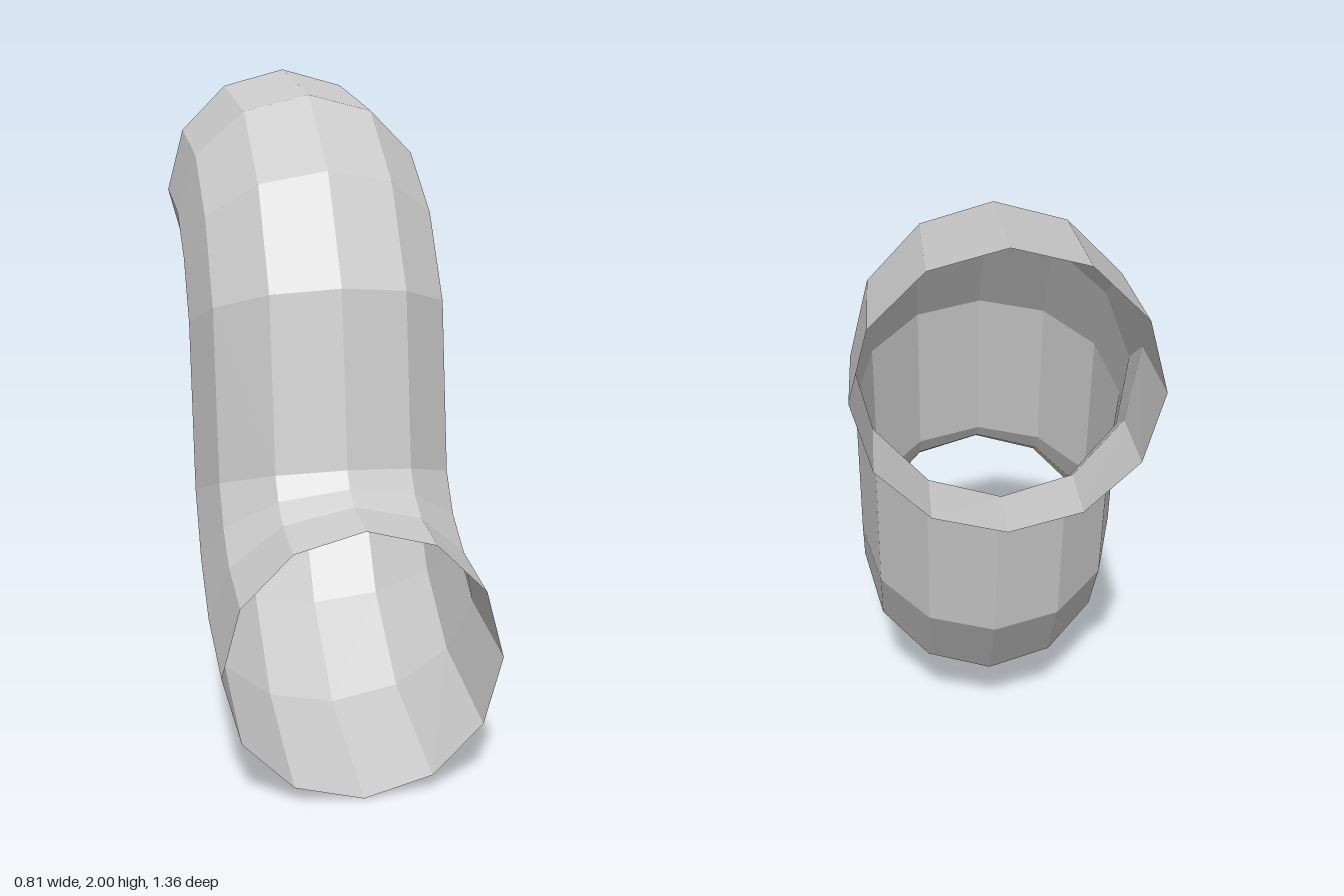
import * as THREE from 'three';

const SIDES = 12;
const HALF_WIDTH = 0.4;

// Each ring of the bent pipe: upper point [z, y] and lower point [z, y], front to back
const RINGS = [
  [0.68, 0.80, 0.68, 0.0],
  [0.525, 0.818, 0.21, 0.075],
  [0.467, 0.853, -0.10, 0.283],
  [0.435, 0.90, -0.31, 0.597],
  [0.35, 1.41, -0.395, 1.105],
  [0.143, 1.722, -0.428, 1.153],
  [-0.17, 1.93, -0.477, 1.186],
  [-0.68, 2.0, -0.68, 1.2],
];

// Skin of quads through the rings, open at both ends
function createPipeGeometry() {
  const positions = [];
  const indices = [];
  RINGS.forEach(([z0, y0, z1, y1], i) => {
    const drift = 0.003 * (1 - (2 * i) / (RINGS.length - 1)); // slight sideways lean
    for (let j = 0; j < SIDES; j++) {
      const a = (j / SIDES) * Math.PI * 2;
      const t = (1 - Math.cos(a)) / 2;
      positions.push(
        drift + HALF_WIDTH * Math.sin(a),
        THREE.MathUtils.lerp(y0, y1, t),
        THREE.MathUtils.lerp(z0, z1, t),
      );
    }
  });
  for (let i = 0; i < RINGS.length - 1; i++) {
    for (let j = 0; j < SIDES; j++) {
      const k = (j + 1) % SIDES;
      const p = i * SIDES + j;
      const q = i * SIDES + k;
      indices.push(p, q, p + SIDES, q, q + SIDES, p + SIDES);
    }
  }
  const indexed = new THREE.BufferGeometry();
  indexed.setAttribute('position', new THREE.Float32BufferAttribute(positions, 3));
  indexed.setIndex(indices);
  const geometry = indexed.toNonIndexed();
  geometry.computeVertexNormals();
  return geometry;
}

export function createModel() {
  const group = new THREE.Group();
  group.name = 'bentPipe';
  const material = new THREE.MeshStandardMaterial({
    color: 0xcccccc,
    flatShading: true,
    side: THREE.DoubleSide,
  });
  const pipe = new THREE.Mesh(createPipeGeometry(), material);
  pipe.name = 'pipeWall';
  group.add(pipe);
  return group;
}
